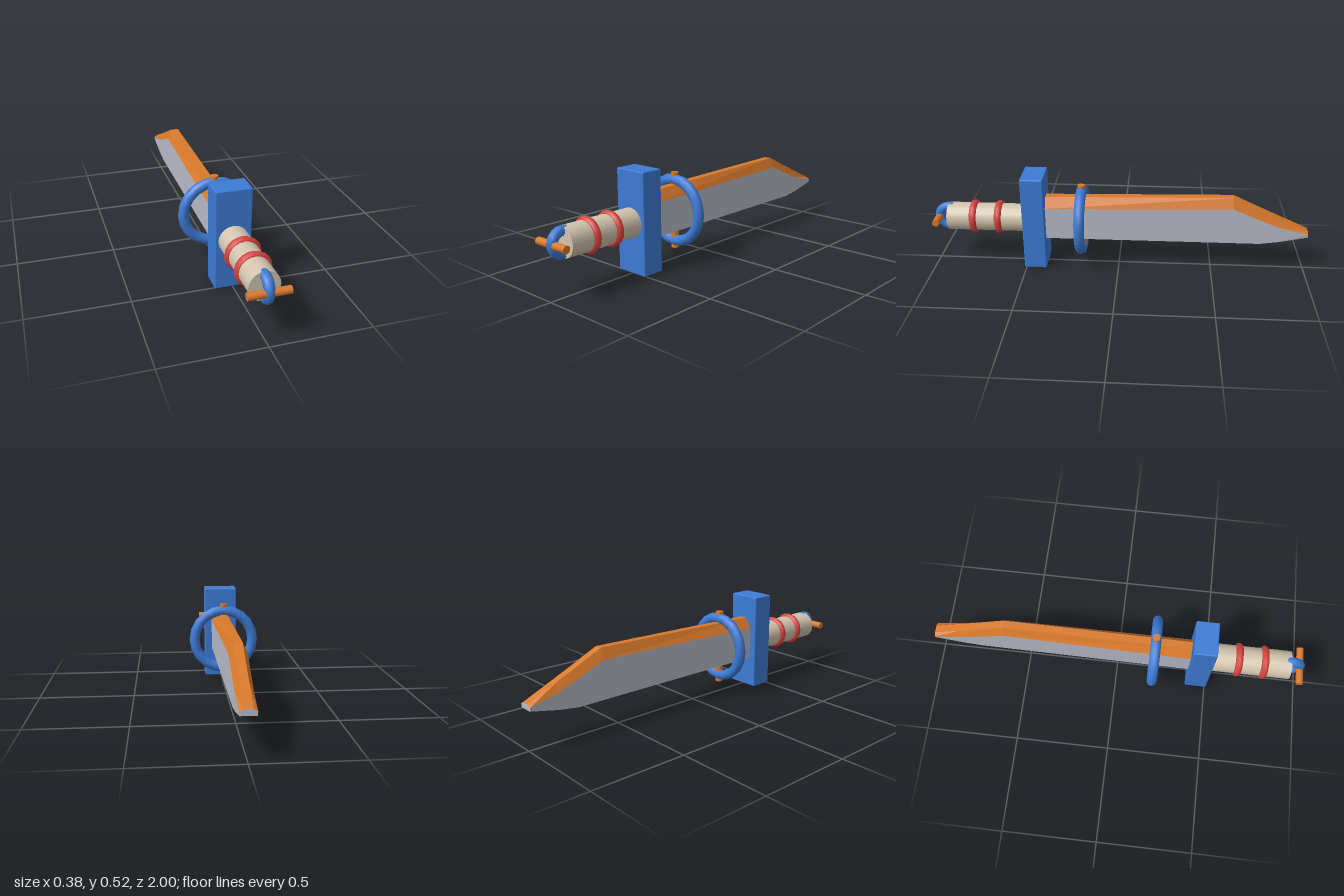
import * as THREE from 'three';
import { RoundedBoxGeometry } from 'three/addons/geometries/RoundedBoxGeometry.js';

const material = (name, color) => {
  const m = new THREE.MeshStandardMaterial({ color });
  m.name = name;
  return m;
};

export function createModel() {
  const group = new THREE.Group();
  const blue = material('blue', 0x3d7bd6);
  const orange = material('orange', 0xd9792b);
  const red = material('red', 0xd8433f);
  const cream = material('cream', 0xd3c5ae);
  const silver = material('silver', 0xb9bdc9);
  const axisY = 0.26;

  const add = (name, geometry, mat, y, z) => {
    const mesh = new THREE.Mesh(geometry, mat);
    mesh.name = name;
    mesh.position.set(0, y, z);
    group.add(mesh);
    return mesh;
  };

  // Handle with two grip bands
  add('handle', new THREE.CylinderGeometry(0.075, 0.075, 0.42, 20), cream, axisY, 0.71).rotation.x = Math.PI / 2;
  for (const z of [0.645, 0.78]) {
    add('gripBand', new THREE.TorusGeometry(0.07, 0.021, 8, 20), red, axisY, z);
  }

  // Guard block
  add('guard', new RoundedBoxGeometry(0.182, 0.52, 0.12, 2, 0.006), blue, axisY, 0.45);

  // Pommel loop and its cross bar
  add('pommelLoop', new THREE.TorusGeometry(0.055, 0.025, 10, 20), blue, axisY, 0.92).rotation.y = Math.PI / 2;
  add('crossBar', new THREE.CylinderGeometry(0.019, 0.019, 0.2, 14), orange, axisY, 0.973).rotation.z = Math.PI / 2;

  // Ring round the blade, held by a vertical pin
  add('bladeRing', new THREE.TorusGeometry(0.163, 0.028, 10, 20), blue, axisY, 0.2);
  add('ringPin', new THREE.CylinderGeometry(0.02, 0.02, 0.4, 14), orange, axisY, 0.2);

  // Blade cross-sections: z, top, shoulder, bottom, half width
  const sections = [
    [0.4, 0.395, 0.34, 0.165, 0.055],
    [-0.6, 0.417, 0.363, 0.161, 0.044],
    [-0.75, 0.347, 0.298, 0.16, 0.042],
    [-0.85, 0.302, 0.26, 0.174, 0.041],
    [-1, 0.235, 0.222, 0.205, 0.039],
  ].map(([z, top, shoulder, bottom, w]) => [
    [w * 0.94, bottom, z], [w, shoulder, z], [0.02, top, z],
    [-0.02, top, z], [-w, shoulder, z], [-w * 0.94, bottom, z],
  ]);

  // Joins the chosen sides of neighbouring sections
  const skin = (sides, capped) => {
    const pos = [];
    const tri = (...points) => points.forEach((p) => pos.push(...p));
    for (let i = 0; i < sections.length - 1; i++) {
      for (const j of sides) {
        const k = (j + 1) % 6;
        const [a, b] = [sections[i][j], sections[i][k]];
        const [d, c] = [sections[i + 1][j], sections[i + 1][k]];
        tri(a, d, c);
        tri(a, c, b);
      }
    }
    if (capped) {
      const tip = sections[sections.length - 1];
      for (let j = 1; j < 5; j++) tri(tip[0], tip[j + 1], tip[j]);
    }
    const geometry = new THREE.BufferGeometry();
    geometry.setAttribute('position', new THREE.Float32BufferAttribute(pos, 3));
    geometry.computeVertexNormals();
    return geometry;
  };
  add('bladeSpine', skin([1, 2, 3], false), orange, 0, 0);
  add('bladeBody', skin([0, 4, 5], true), silver, 0, 0);

  return group;
}
